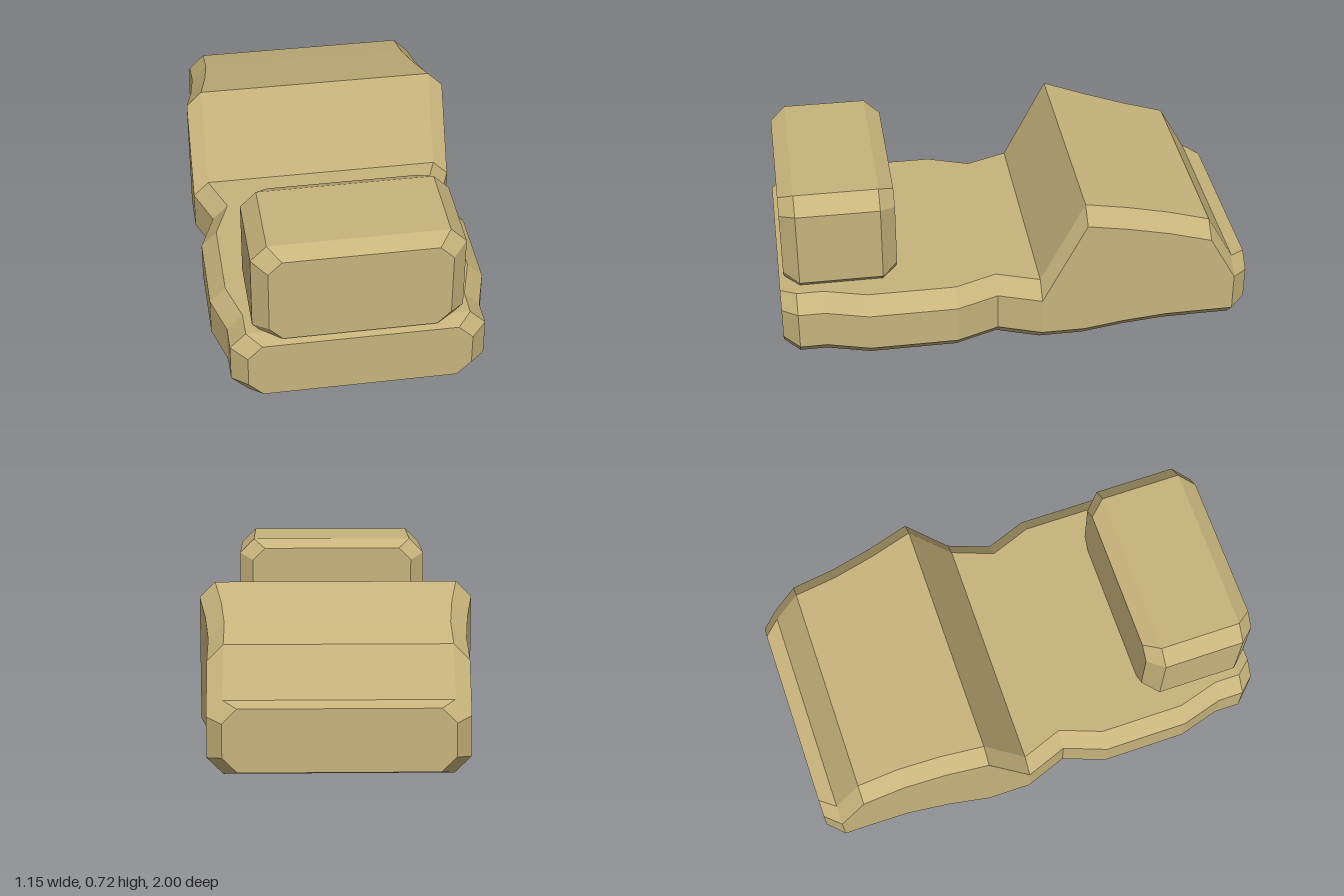
import * as THREE from 'three';

// Chamfered rectangle, counter-clockwise seen from the front
function section({ z, w, y0, y1, c = 0.066 }) {
  return [
    [w - c, y0], [w, y0 + c], [w, y1 - c], [w - c, y1],
    [c - w, y1], [-w, y1 - c], [-w, y0 + c], [c - w, y0],
  ].map(([x, y]) => [x, y, z]);
}

// Skin sections ordered front to back and close both ends
function loft(stations) {
  const rings = stations.map(section);
  const pos = [];
  const tri = (a, b, c) => pos.push(...a, ...b, ...c);
  for (let i = 0; i < rings.length - 1; i++) {
    const front = rings[i], back = rings[i + 1];
    for (let k = 0; k < 8; k++) {
      const n = (k + 1) % 8;
      tri(front[k], back[k], front[n]);
      tri(front[n], back[k], back[n]);
    }
  }
  const first = rings[0], last = rings[rings.length - 1];
  for (let k = 1; k < 7; k++) {
    tri(first[0], first[k], first[k + 1]);
    tri(last[0], last[k + 1], last[k]);
  }
  const geometry = new THREE.BufferGeometry();
  geometry.setAttribute('position', new THREE.Float32BufferAttribute(pos, 3));
  geometry.computeVertexNormals();
  return geometry;
}

export function createModel() {
  const group = new THREE.Group();
  const material = new THREE.MeshStandardMaterial({ color: 0xc8b47c, flatShading: true });
  const add = (name, stations) => {
    const mesh = new THREE.Mesh(loft(stations), material);
    mesh.name = name;
    group.add(mesh);
  };

  // Body: low deck with a pinched waist, rising to a sloped rear hump
  // Columns: z, half width, top height
  const body = [
    [0.933, 0.525, 0.297], [0.82, 0.525, 0.297], [0.64, 0.577, 0.297],
    [0.27, 0.577, 0.297], [0.09, 0.51, 0.297], [-0.09, 0.577, 0.297],
    [-0.275, 0.577, 0.658], [-0.457, 0.545, 0.605], [-0.64, 0.525, 0.551],
    [-0.82, 0.523, 0.497], [-0.933, 0.523, 0.297],
  ].map(([z, w, y1]) => ({ z, w, y0: 0, y1 }));
  const end = { w: 0.46, y0: 0.021, y1: 0.278, c: 0.06 };
  add('body', [{ z: 1, ...end }, ...body, { z: -1, ...end }]);

  // Raised front block, its bevelled underside sunk into the deck
  const full = { w: 0.431, y0: 0.262, y1: 0.722 };
  const cap = { w: 0.369, y0: 0.294, y1: 0.686, c: 0.056 };
  add('frontBlock', [
    { z: 0.98, ...cap }, { z: 0.915, ...full },
    { z: 0.565, ...full }, { z: 0.5, ...cap },
  ]);

  return group;
}
